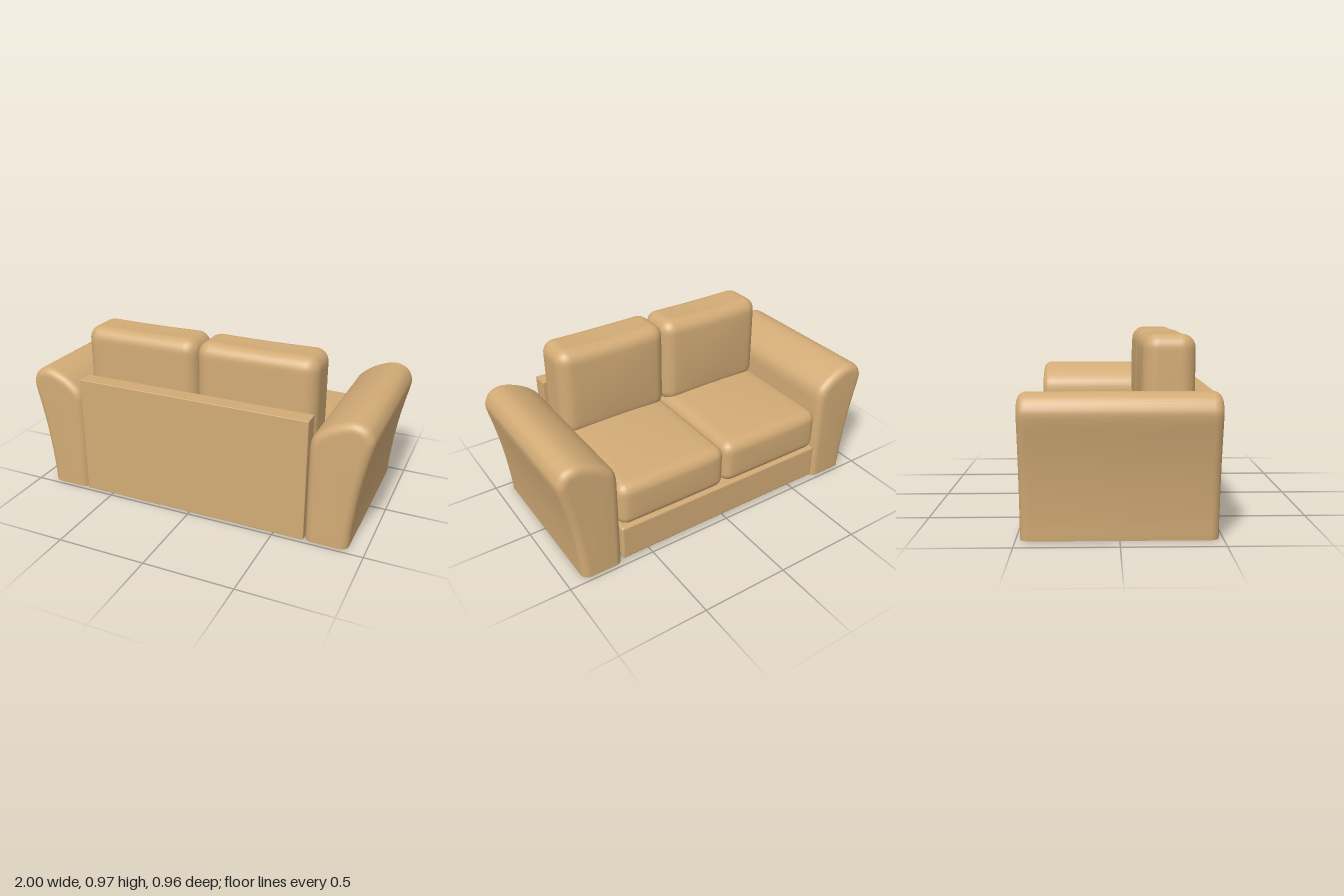
import * as THREE from 'three';
import { toCreasedNormals } from 'three/addons/utils/BufferGeometryUtils.js';
import { RoundedBoxGeometry } from 'three/addons/geometries/RoundedBoxGeometry.js';

const fabric = new THREE.MeshStandardMaterial({ color: 0xd2ab76 });
fabric.name = 'tan fabric';

function addMesh(parent, name, geometry) {
  const mesh = new THREE.Mesh(geometry, fabric);
  mesh.name = name;
  parent.add(mesh);
  return mesh;
}

// Rounded box between two corners
function block(min, max, radius, segments = 5) {
  const size = max.map((v, i) => v - min[i]);
  const g = new RoundedBoxGeometry(...size, segments, radius);
  g.translate(...max.map((v, i) => (v + min[i]) / 2));
  return g;
}

// Soft cushion: extruded rounded outline, facing -z, with subdivided sides that can swell
function cushion(min, max, radius, bulge) {
  const [w, h, d] = max.map((v, i) => v - min[i]);
  const n = 12;
  const g = new THREE.BoxGeometry(w, h, d, 24, 24, 24);
  const p = g.attributes.position;
  const half = new THREE.Vector3(w / 2, h / 2, d / 2);
  const inner = half.clone().subScalar(radius);
  const v = new THREE.Vector3(), core = new THREE.Vector3();
  // Half of the rows on each axis go to the rounded edges
  const remap = (t, a, b) => {
    const s = Math.abs(t) / a * n;
    const m = s <= 7 ? b * s / 7 : b + radius * Math.tan((s - 7) / 5 * Math.PI / 4);
    return Math.sign(t) * m;
  };
  for (let i = 0; i < p.count; i++) {
    v.fromBufferAttribute(p, i);
    v.set(remap(v.x, half.x, inner.x), remap(v.y, half.y, inner.y), remap(v.z, half.z, inner.z));
    core.copy(v).clamp(inner.clone().negate(), inner);
    v.sub(core).setLength(radius).add(core);
    const u = { x: v.x / half.x, y: v.y / half.y, z: v.z / half.z };
    const fall = (a, b) => (1 - a * a) * (1 - b * b);
    v.y += bulge.top * Math.max(0, u.y) * fall(u.x, u.z);
    v.z -= bulge.front * Math.max(0, -u.z) * fall(u.x, u.y);
    p.setXYZ(i, v.x, v.y, v.z);
  }
  g.translate(...max.map((m, i) => (m + min[i]) / 2));
  return toCreasedNormals(g, 0.7);
}

// Flared arm: side profile extruded along z, flat at the floor
function armGeometry() {
  const r = 0.045, halfDepth = 0.48;
  const shape = new THREE.Shape();
  shape.moveTo(0.672, -0.06);
  shape.lineTo(0.908, -0.06);
  shape.lineTo(0.91, 0.02);
  shape.splineThru([
    [0.915, 0.1], [0.931, 0.25], [0.951, 0.38], [0.975, 0.5], [0.998, 0.605],
    [0.994, 0.65], [0.965, 0.695], [0.91, 0.717], [0.85, 0.71], [0.77, 0.675],
    [0.705, 0.625], [0.68, 0.585], [0.672, 0.54],
  ].map(([x, y]) => new THREE.Vector2(x, y)));
  const g = new THREE.ExtrudeGeometry(shape, {
    depth: 2 * (halfDepth - r), bevelThickness: r, bevelSize: r, bevelOffset: -r,
    bevelSegments: 6, curveSegments: 3,
  });
  g.translate(0, 0, r - halfDepth);
  const p = g.attributes.position;
  for (let i = 0; i < p.count; i++) p.setY(i, Math.max(0, p.getY(i)));
  return toCreasedNormals(g, 0.75);
}

export function createModel() {
  const sofa = new THREE.Group();
  sofa.name = 'sofa';

  // Frame
  addMesh(sofa, 'base', block([-0.67, 0.015, -0.475], [0.67, 0.225, 0.39], 0.015, 3));
  addMesh(sofa, 'backBoard', block([-0.67, 0, 0.385], [0.67, 0.69, 0.478], 0.004, 2));

  // Arms
  const arm = armGeometry();
  addMesh(sofa, 'leftArm', arm);
  addMesh(sofa, 'rightArm', arm.clone().rotateY(Math.PI));

  // Cushions, one pair for each seat
  for (const [side, x] of [['left', 0], ['right', -0.67]]) {
    addMesh(sofa, side + 'SeatCushion',
      cushion([x, 0.22, -0.475], [x + 0.67, 0.48, 0.385], 0.06, { top: 0.02, front: 0.006 }));
    addMesh(sofa, side + 'BackCushion',
      cushion([x, 0.44, 0.125], [x + 0.67, 0.976, 0.388], 0.075, { top: -0.01, front: 0.018 }));
  }
  return sofa;
}
